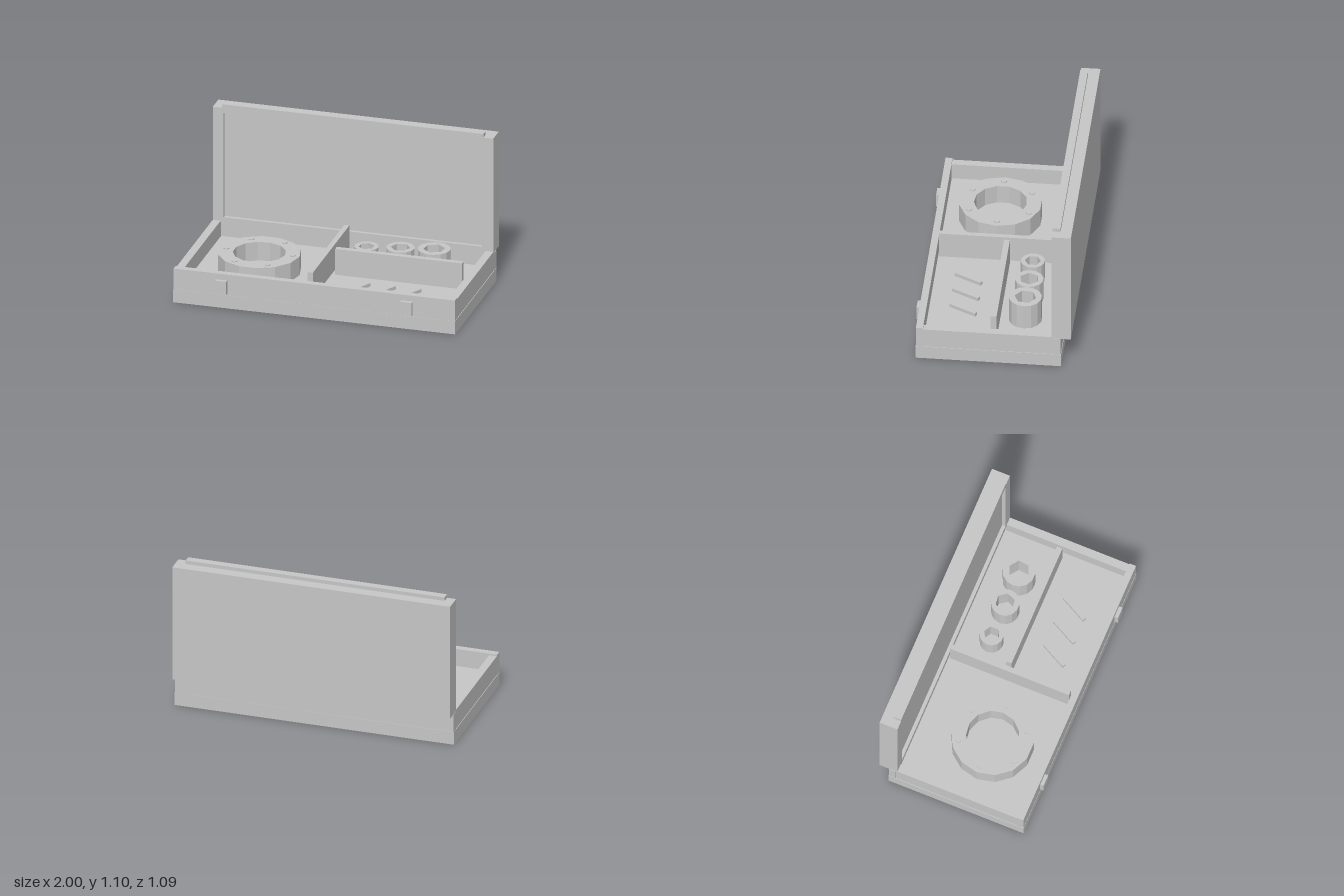
import * as THREE from 'three';

export function createModel() {
  const group = new THREE.Group();
  const grey = new THREE.MeshStandardMaterial({ color: 0xc6c6c6, flatShading: true });
  grey.name = 'grey';
  const baseTop = 0.095;
  const floorY = 0.12;

  function add(name, geometry) {
    const mesh = new THREE.Mesh(geometry, grey);
    mesh.name = name;
    group.add(mesh);
    return mesh;
  }

  // box given by its limits on each axis
  function box(name, x0, x1, y0, y1, z0, z1) {
    const mesh = add(name, new THREE.BoxGeometry(x1 - x0, y1 - y0, z1 - z0));
    mesh.position.set((x0 + x1) / 2, (y0 + y1) / 2, (z0 + z1) / 2);
    return mesh;
  }

  function polygon(radius, sides, turn = 0) {
    return Array.from({ length: sides }, (_, i) => {
      const a = turn + (i / sides) * Math.PI * 2;
      return new THREE.Vector2(Math.cos(a) * radius, Math.sin(a) * radius);
    });
  }

  // upright faceted tube standing on the tray floor
  function tube(name, x, z, outer, outerSides, inner, innerSides, top, turn) {
    const shape = new THREE.Shape(polygon(outer, outerSides));
    shape.holes.push(new THREE.Path(polygon(inner, innerSides, turn)));
    const geometry = new THREE.ExtrudeGeometry(shape, { depth: top - floorY, bevelEnabled: false });
    geometry.rotateX(-Math.PI / 2);
    add(name, geometry).position.set(x, floorY, z);
  }

  // tray
  box('base', -1, 1, 0, baseTop, -0.475, 0.52);
  box('floor', -0.94, 0.94, baseTop, floorY, -0.422, 0.47);
  box('frontWall', -0.998, 0.998, baseTop, 0.248, 0.47, 0.518);
  box('backWall', -0.998, 0.998, baseTop, 0.225, -0.472, -0.422);
  for (const s of [-1, 1]) {
    const wall = box('sideWall', -0.028, 0.028, baseTop, 0.236, -0.422, 0.47);
    wall.position.x = s * 0.968;
    const latch = box('latch', -0.041, 0.041, 0.108, 0.205, 0.518, 0.544);
    latch.position.x = s * 0.658;
  }

  // open lid: back panel, raised frame and closing lip
  box('lidPanel', -0.995, 0.995, 0.225, 1.07, -0.542, -0.435);
  const frame = new THREE.Shape([[-0.995, 0.225], [0.995, 0.225], [0.995, 1.07], [-0.995, 1.07]]
    .map(([x, y]) => new THREE.Vector2(x, y)));
  frame.holes.push(new THREE.Path([[-0.918, 0.265], [-0.918, 1.032], [0.916, 1.032], [0.916, 0.265]]
    .map(([x, y]) => new THREE.Vector2(x, y))));
  add('lidFrame', new THREE.ExtrudeGeometry(frame, { depth: 0.025, bevelEnabled: false }))
    .position.z = -0.435;
  box('lidLip', -0.93, 0.925, 1.07, 1.096, -0.464, -0.41);

  // dividers
  box('longDivider', -0.062, -0.026, floorY, 0.31, -0.41, 0.465);
  box('crossDivider', 0, 0.9, floorY, 0.31, -0.024, 0.016);

  // flange ring with studs
  const ring = { x: -0.515, z: 0.092 };
  tube('flangeRing', ring.x, ring.z, 0.285, 14, 0.182, 13, 0.256, 0);
  for (const p of polygon(0.235, 6)) {
    const stud = add('ringStud', new THREE.CylinderGeometry(0.02, 0.02, 0.03, 7));
    stud.position.set(ring.x + p.x, 0.248, ring.z + p.y);
  }

  // hexagonal sockets, growing in size
  tube('smallSocket', 0.16, -0.197, 0.083, 14, 0.055, 6, 0.265, Math.PI / 6);
  tube('mediumSocket', 0.4, -0.197, 0.098, 14, 0.067, 6, 0.285, 0.12);
  tube('largeSocket', 0.64, -0.195, 0.113, 14, 0.075, 6, 0.305, 0.4);

  // slanted bars
  for (const x of [0.228, 0.409, 0.59]) {
    const bar = add('slantedBar', new THREE.BoxGeometry(0.026, 0.025, 0.21));
    bar.position.set(x, floorY + 0.0125, 0.235);
    bar.rotation.y = -0.48;
  }

  return group;
}
